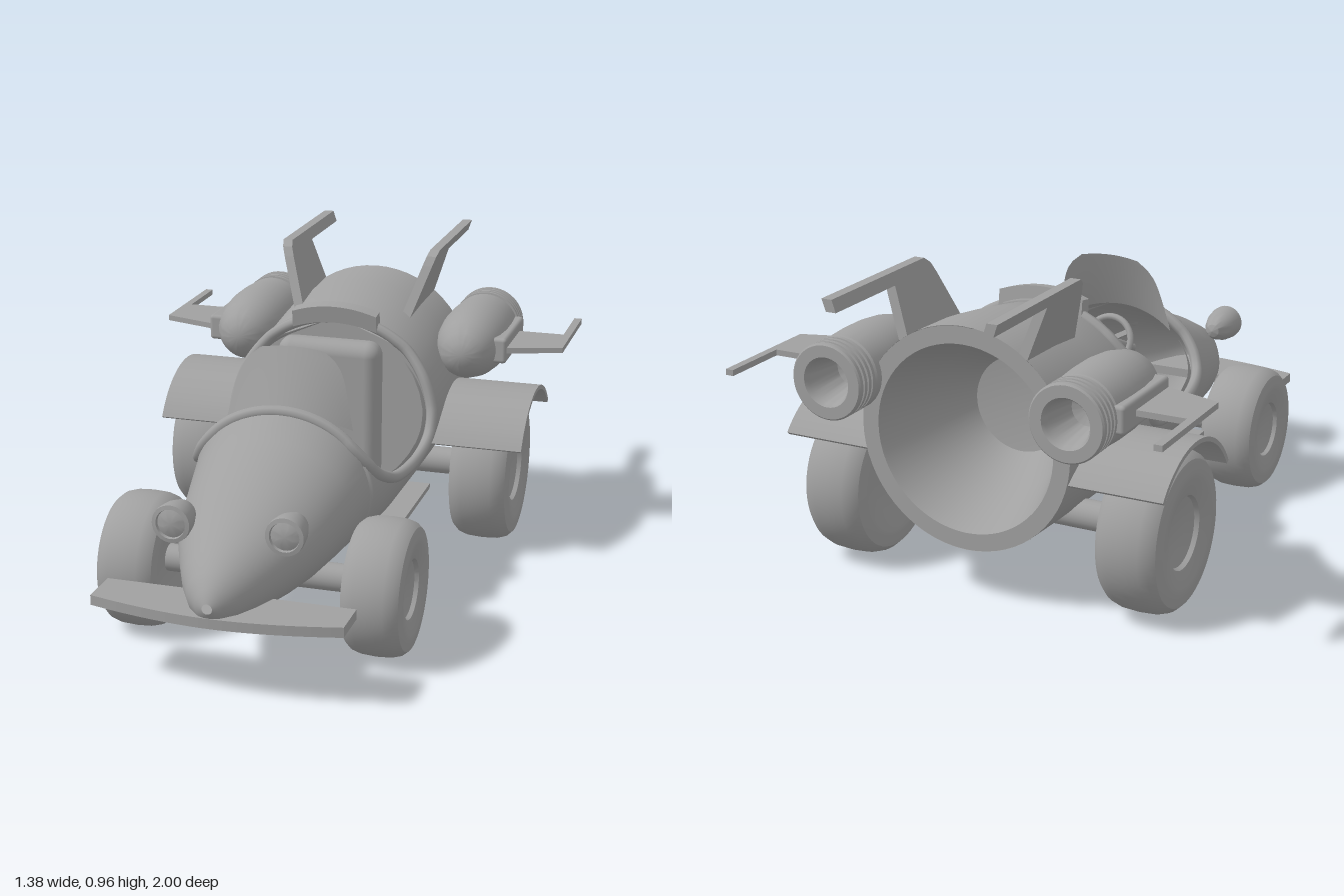
import * as THREE from 'three';
import { mergeVertices, toCreasedNormals } from 'three/addons/utils/BufferGeometryUtils.js';
import { RoundedBoxGeometry } from 'three/addons/geometries/RoundedBoxGeometry.js';

const V2 = (a) => a.map(([x, y]) => new THREE.Vector2(x, y));
const V3 = (x, y, z) => new THREE.Vector3(x, y, z);

// Hull stations: z, half width, top, bottom
const STATIONS = [
  [0.995, 0.015, 0.31, 0.28], [0.98, 0.042, 0.345, 0.25], [0.94, 0.08, 0.385, 0.225], [0.88, 0.115, 0.42, 0.21],
  [0.8, 0.152, 0.455, 0.2], [0.7, 0.195, 0.5, 0.192], [0.6, 0.226, 0.54, 0.185], [0.45, 0.256, 0.6, 0.179],
  [0.33, 0.278, 0.655, 0.175], [0.25, 0.3, 0.68, 0.172], [0.1, 0.32, 0.72, 0.167], [-0.2, 0.333, 0.785, 0.164],
  [-0.4, 0.338, 0.82, 0.164], [-0.55, 0.338, 0.842, 0.167], [-0.72, 0.336, 0.85, 0.173]];
// Cockpit edge: z, height
const EDGE = [[0.33, 0.56], [0.315, 0.51], [0.29, 0.475], [0.25, 0.45], [0.18, 0.425], [0.05, 0.412], [-0.05, 0.412],
  [-0.13, 0.43], [-0.17, 0.46], [-0.2, 0.52], [-0.22, 0.62], [-0.235, 0.7]];

// Linear lookup in a table sorted by falling z
function lookup(table, z) {
  let i = 0;
  while (i < table.length - 2 && table[i + 1][0] > z) i++;
  const t = THREE.MathUtils.clamp((table[i][0] - z) / (table[i][0] - table[i + 1][0]), 0, 1);
  return table[i].map((v, k) => v + (table[i + 1][k] - v) * t);
}

// Point on the hull; a = 0 is the keel, a = PI the top
function hullPoint(z, a, inset = 0) {
  const [, w, top, bottom] = lookup(STATIONS, z);
  return V3((w - inset) * Math.sin(a), (top + bottom) / 2 - ((top - bottom) / 2 - inset) * Math.cos(a), z);
}

function edgeAngle(z) {
  if (z > 0.331 || z < -0.236) return Math.PI;
  const [, , top, bottom] = lookup(STATIONS, z);
  const y = lookup(EDGE, z)[1];
  return Math.acos(THREE.MathUtils.clamp(((top + bottom) / 2 - y) / ((top - bottom) / 2), -1, 1));
}

// Skin over the hull sections at the given z values
function hullSkin(zs, inset) {
  const pos = [], index = [], n = 56;
  zs.forEach((z, r) => {
    const A = edgeAngle(z);
    for (let i = 0; i <= n; i++) {
      pos.push(...hullPoint(z, A * (2 * i / n - 1), inset).toArray());
      if (r && i) {
        const d = r * (n + 1) + i, c = d - 1, b = d - n - 1, a = b - 1;
        index.push(a, c, b, b, c, d);
      }
    }
  });
  let g = new THREE.BufferGeometry();
  g.setAttribute('position', new THREE.Float32BufferAttribute(pos, 3));
  g.setIndex(index);
  g = mergeVertices(g, 1e-5);
  g.computeVertexNormals();
  return g;
}

// Extrude a (z, y) outline across x, centred on x
function sidePlate(shape, x, width) {
  return new THREE.ExtrudeGeometry(shape, { depth: width, bevelEnabled: false, curveSegments: 32 })
    .rotateY(-Math.PI / 2).translate(x + width / 2, 0, 0);
}
// Extrude an (x, z) outline upwards, centred on y
function flatPlate(shape, y, height) {
  return new THREE.ExtrudeGeometry(shape, { depth: height, bevelEnabled: false, curveSegments: 24 })
    .rotateX(Math.PI / 2).translate(0, y + height / 2, 0);
}
function lathe(points, segments = 48) {
  return toCreasedNormals(new THREE.LatheGeometry(V2(points), segments), 0.6);
}

// Copy to the other side of x = 0, keeping the winding outward
function mirrored(geo) {
  const g = geo.index ? geo.toNonIndexed() : geo.clone();
  for (const key of ['position', 'normal']) {
    const a = g.attributes[key];
    for (let i = 0; i < a.count; i += 3) {
      const p = [0, 2, 1].map((k) => [-a.getX(i + k), a.getY(i + k), a.getZ(i + k)]);
      p.forEach((v, k) => a.setXYZ(i + k, ...v));
    }
  }
  return g;
}

// Wheel with rounded tyre and dished hub, axle along x, outside at +x
function wheelGeometry(r, h, hub) {
  const pts = [[0, -h * 0.8], [hub, -h * 0.85], [r * 0.68, -h]];
  for (let i = 0; i <= 8; i++) {
    const t = (i / 8 - 0.5) * Math.PI, s = Math.sin(t);
    const c = Math.max(0, Math.cos(t));
    pts.push([r * 0.74 + r * 0.26 * Math.pow(c, 0.6), h * Math.sign(s) * Math.pow(Math.abs(s), 0.75)]);
  }
  pts.push([r * 0.66, h * 0.99], [hub * 1.06, h * 0.88], [hub, h * 0.86], [hub * 0.95, h * 0.72],
    [hub * 0.5, h * 0.62], [0, h * 0.6]);
  return lathe(pts, 56).rotateZ(-Math.PI / 2);
}

export function createModel() {
  const car = new THREE.Group();
  car.name = 'rocketRacer';
  const grey = new THREE.MeshStandardMaterial({ color: 0xa0a0a0, side: THREE.DoubleSide });
  grey.name = 'grey';
  const add = (name, geo) => {
    const m = new THREE.Mesh(geo, grey);
    m.name = name;
    car.add(m);
  };
  const pair = (name, geo) => { add(name + 'Left', geo); add(name + 'Right', mirrored(geo)); };

  // Hull and cockpit lining
  const cockpit = [];
  for (let i = 0; i <= 50; i++) cockpit.push(0.33 - 0.565 * i / 50);
  const zs = STATIONS.map((s) => s[0]);
  add('body', hullSkin([...zs.filter((z) => z > 0.34), 0.34, ...cockpit, -0.243, ...zs.filter((z) => z < -0.3)], 0));
  add('cockpitLining', hullSkin(cockpit, 0.03));
  const bulkhead = new THREE.Shape();
  bulkhead.absellipse(0, 0.475, 0.325, 0.3, 0, Math.PI * 2);
  add('bulkhead', new THREE.ShapeGeometry(bulkhead, 24).translate(0, 0, -0.245));

  // Rim around the cockpit opening
  const half = [];
  const arc = (z, from, to) => {
    for (let i = 0; i <= 6; i++) half.push(hullPoint(z, from + (to - from) * i / 6));
  };
  arc(0.335, Math.PI, edgeAngle(0.33));
  EDGE.slice(1, -1).forEach(([z]) => half.push(hullPoint(z, edgeAngle(z))));
  arc(-0.24, edgeAngle(-0.235), Math.PI);
  const loop = [...half, ...half.slice(1, -1).reverse().map((p) => V3(-p.x, p.y, p.z))];
  add('cockpitRim', new THREE.TubeGeometry(new THREE.CatmullRomCurve3(loop, true), 160, 0.018, 8, true));

  // Hollow tail
  add('tailNozzle', lathe([[0, -0.36], [0.15, -0.38], [0.22, -0.52], [0.28, -0.71], [0.285, -0.72], [0.337, -0.72]], 64)
    .rotateX(Math.PI / 2).translate(0, 0.511, 0));

  // Seat, head pad, windscreen
  add('seatBack', new RoundedBoxGeometry(0.34, 0.5, 0.1, 4, 0.045).translate(0, 0.49, -0.17));
  add('seatCushion', new RoundedBoxGeometry(0.4, 0.1, 0.28, 4, 0.04).translate(0, 0.26, 0));
  const pad = new THREE.BoxGeometry(0.28, 0.055, 0.045, 12, 1, 1);
  const pp = pad.attributes.position;
  for (let i = 0; i < pp.count; i++) pp.setY(i, pp.getY(i) - 1.3 * pp.getX(i) ** 2);
  pad.computeVertexNormals();
  add('headPad', pad.rotateX(0.15).translate(0, 0.812, -0.228));

  const pane = [];
  const rows = 10, cols = 16, paneIndex = [];
  for (let r = 0; r <= rows; r++) {
    const t = r / rows;
    const w = 0.2 - 0.05 * t - 0.05 * Math.pow(t, 8);
    for (let c = 0; c <= cols; c++) {
      const x = w * (2 * c / cols - 1);
      pane.push(x, 0.64 + 0.185 * t - (1.3 - 0.3 * t) * x * x, 0.31 - 0.08 * t - 1.2 * (1 - 0.6 * t) * x * x);
      if (r && c) {
        const d = r * (cols + 1) + c, b = d - cols - 1;
        paneIndex.push(b - 1, b, d, b - 1, d, d - 1);
      }
    }
  }
  const screen = new THREE.BufferGeometry();
  screen.setAttribute('position', new THREE.Float32BufferAttribute(pane, 3));
  screen.setIndex(paneIndex);
  screen.computeVertexNormals();
  add('windscreen', screen);

  // Steering wheel
  const steering = new THREE.Group();
  steering.name = 'steeringWheel';
  const part = (geo) => steering.add(new THREE.Mesh(geo, grey));
  part(new THREE.TorusGeometry(0.078, 0.011, 8, 32));
  part(new THREE.CylinderGeometry(0.024, 0.024, 0.03, 16).rotateX(Math.PI / 2));
  for (let i = 0; i < 3; i++)
    part(new THREE.BoxGeometry(0.016, 0.08, 0.01).translate(0, 0.04, 0).rotateZ(Math.PI + i * Math.PI * 2 / 3));
  part(new THREE.CylinderGeometry(0.014, 0.014, 0.2, 12).rotateX(Math.PI / 2).translate(0, 0, 0.1));
  steering.position.set(0, 0.54, 0.22);
  steering.rotation.x = 0.4;
  car.add(steering);

  // Headlamps
  pair('headlamp', lathe([[0, 0.69], [0.022, 0.7], [0.04, 0.73], [0.052, 0.77], [0.057, 0.81], [0.056, 0.826],
    [0.044, 0.828], [0.042, 0.818], [0.025, 0.825], [0, 0.828]], 32).rotateX(Math.PI / 2).translate(0.167, 0.46, 0));

  // Front wing and side sills
  const wing = new THREE.Shape(V2([[-0.37, 0.81], [0.37, 0.81], [0.37, 0.935]]));
  wing.quadraticCurveTo(0.16, 0.99, 0, 0.99);
  wing.quadraticCurveTo(-0.16, 0.99, -0.37, 0.935);
  add('frontWing', flatPlate(wing, 0.25, 0.03));
  pair('sideSill', new THREE.BoxGeometry(0.1, 0.016, 0.48).translate(0.275, 0.257, 0.025));

  // Wheels and axles
  pair('frontWheel', wheelGeometry(0.205, 0.09, 0.09).translate(0.372, 0.21, 0.51));
  const rear = wheelGeometry(0.245, 0.098, 0.11);
  add('rearWheelLeft', rear.clone().translate(0.467, 0.25, -0.49));
  add('rearWheelRight', mirrored(rear).translate(-0.5, 0.25, -0.49));
  add('frontAxle', new THREE.CylinderGeometry(0.042, 0.042, 0.62, 24).rotateZ(Math.PI / 2).translate(0, 0.22, 0.51));
  add('rearAxle', new THREE.CylinderGeometry(0.045, 0.045, 0.86, 24).rotateZ(Math.PI / 2).translate(0, 0.25, -0.49));

  // Rear mudguards
  const guard = new THREE.Shape();
  guard.absarc(-0.49, 0.245, 0.288, 0.54, 2.45, false);
  guard.absarc(-0.49, 0.245, 0.274, 2.45, 0.54, true);
  pair('mudguard', toCreasedNormals(sidePlate(guard, 0.45, 0.33), 0.5));

  // Rocket pods with ringed nozzles
  const pod = [[0, -0.68], [0.05, -0.7], [0.068, -0.825], [0.075, -0.835], [0.11, -0.835]];
  for (let i = 0; i < 4; i++) {
    const z = -0.83 + i * 0.021;
    pod.push([0.115, z], [0.115, z + 0.012], [0.105, z + 0.014], [0.105, z + 0.019]);
  }
  pod.push([0.113, -0.74], [0.118, -0.65], [0.118, -0.57], [0.111, -0.5], [0.096, -0.44], [0.07, -0.395],
    [0.04, -0.372], [0, -0.364]);
  pair('rocketPod', lathe(pod).rotateX(Math.PI / 2).translate(0.382, 0.66, 0));
  pair('podMount', new RoundedBoxGeometry(0.06, 0.085, 0.3, 3, 0.012).translate(0.485, 0.66, -0.6));
  const podWing = new THREE.Shape(V2([[0.45, -0.44], [0.69, -0.515], [0.69, -0.89], [0.665, -0.89], [0.665, -0.675],
    [0.45, -0.675]]));
  pair('podWing', flatPlate(podWing, 0.662, 0.018));

  // Tail fins, leaning outward
  const fin = new THREE.Shape(V2([[-0.41, 0.74], [-0.48, 0.92], [-0.495, 0.95], [-0.52, 0.968], [-1, 0.968],
    [-1, 0.932], [-0.7, 0.932], [-0.72, 0.78], [-0.68, 0.74]]));
  const finGeo = sidePlate(fin, 0, 0.032);
  const fp = finGeo.attributes.position;
  for (let i = 0; i < fp.count; i++) fp.setX(i, fp.getX(i) + 0.18 + (fp.getY(i) - 0.75) * 0.34);
  finGeo.computeVertexNormals();
  pair('tailFin', finGeo);

  return car;
}
